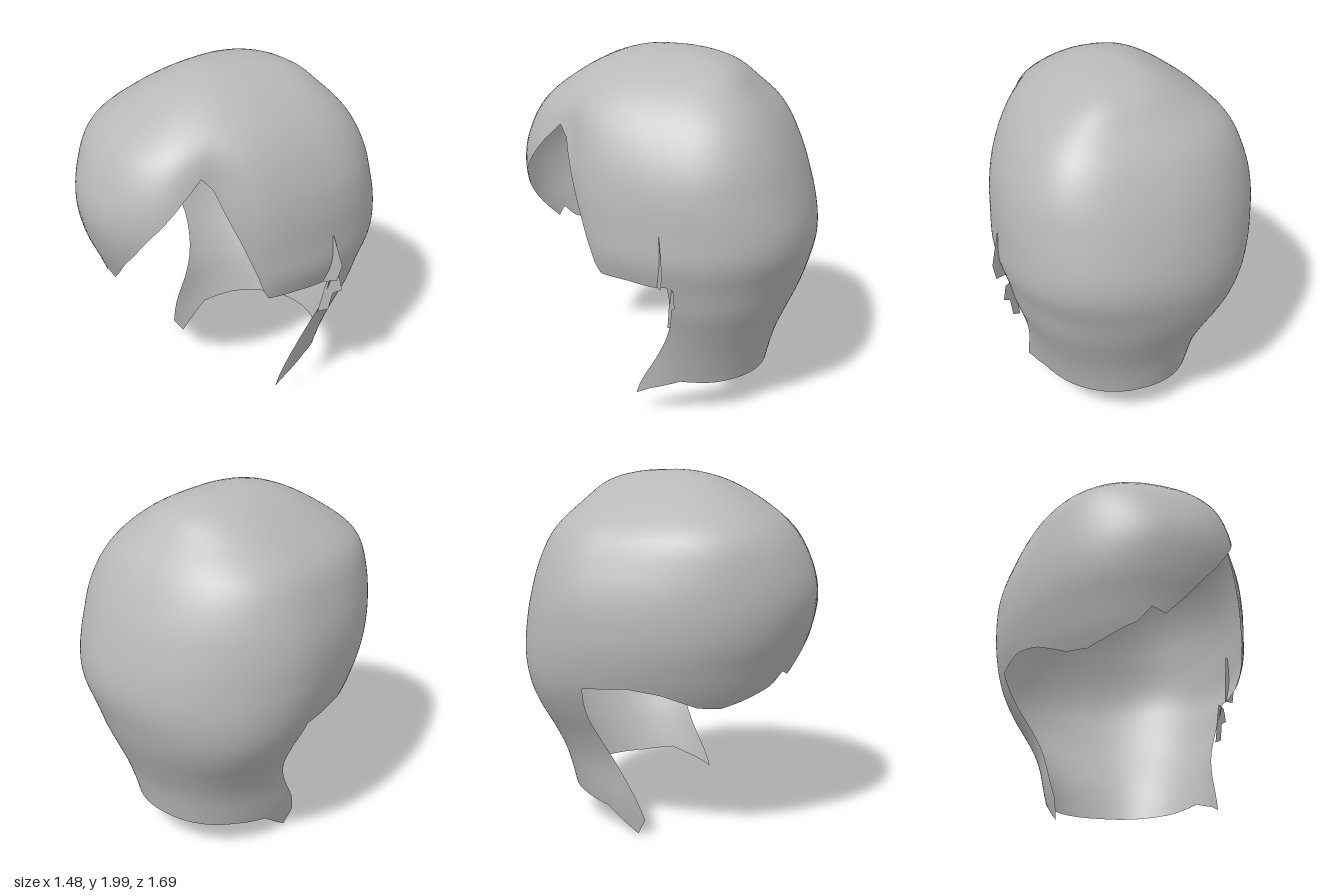
import * as THREE from 'three';

// Horizontal rings of the head of hair, crown to neck:
// y, right x, left x, front z, back z, centre z
const RINGS = [
  [2, -0.04, -0.04, 0.05, 0.05, 0.05],
  [1.985, -0.14, 0.1, 0.18, -0.19, 0],
  [1.93, -0.27, 0.26, 0.35, -0.38, -0.02],
  [1.82, -0.44, 0.425, 0.54, -0.5, -0.06],
  [1.68, -0.605, 0.55, 0.71, -0.625, -0.12],
  [1.5, -0.69, 0.64, 0.81, -0.725, -0.18],
  [1.33, -0.735, 0.68, 0.845, -0.79, -0.2],
  [1.15, -0.74, 0.69, 0.81, -0.835, -0.2],
  [1.0, -0.72, 0.69, 0.75, -0.84, -0.2],
  [0.85, -0.675, 0.65, 0.69, -0.805, -0.205],
  [0.7, -0.6, 0.61, 0.61, -0.755, -0.21],
  [0.55, -0.52, 0.56, 0.5, -0.69, -0.17],
  [0.4, -0.47, 0.525, 0.4, -0.63, -0.1],
  [0.2, -0.45, 0.5, 0.4, -0.58, 0.01],
  [0, -0.41, 0.49, 0.4, -0.55, 0.07],
];

// Hem heights by angle in degrees (0 = front, 90 = the left side)
const UPPER_HEM = [
  [-180, 0.88], [-90, 0.88], [-75, 0.9], [-63, 0.87], [-48, 0.79], [-38, 0.78],
  [-30, 0.81], [-15, 0.88], [-10, 0.95], [-4, 0.92], [5, 1.03], [18, 1.2],
  [31, 1.4], [38, 1.53], [44, 1.62], [48, 1.56], [57, 1.23], [63, 0.88],
  [75, 0.885], [85, 0.87], [90, 0.88], [180, 0.88],
];
const NECK_HEM = [
  [-180, 0.21], [-130, 0.18], [-110, 0.15], [-96, 0.01], [-90, 0.1],
  [90, 0.14], [96, 0.18], [110, 0.24], [130, 0.22], [180, 0.21],
];

const { lerp, smoothstep } = THREE.MathUtils;

function lookUp(table, x) {
  let i = 0;
  while (i < table.length - 2 && x > table[i + 1][0]) i++;
  const [a, b] = [table[i], table[i + 1]];
  return lerp(a[1], b[1], (x - a[0]) / (b[0] - a[0]));
}

// Smooth ring value k at position s along the ring list
function ring(s, k) {
  const last = RINGS.length - 1;
  const i = Math.min(Math.floor(s), last - 1), t = s - i;
  const p = (n) => RINGS[Math.max(0, Math.min(last, n))][k];
  const [a, b, c, d] = [p(i - 1), p(i), p(i + 1), p(i + 2)];
  return b + 0.5 * t * (c - a + t * (2 * a - 5 * b + 4 * c - d + t * (3 * (b - c) + d - a)));
}

function ringAtHeight(y) {
  let lo = 0, hi = RINGS.length - 1;
  for (let n = 0; n < 30; n++) {
    const mid = (lo + hi) / 2;
    if (ring(mid, 0) > y) lo = mid; else hi = mid;
  }
  return lo;
}

// Point of the shell: each quadrant is its own superellipse
function shellPoint(deg, s) {
  const a = THREE.MathUtils.degToRad(deg);
  const sin = Math.sin(a), cos = Math.cos(a);
  const [y, xr, xl, zf, zb, cz] = [0, 1, 2, 3, 4, 5].map((k) => ring(s, k));
  const cx = (xr + xl) / 2, half = (xl - xr) / 2;
  const back = smoothstep(-cos, -0.2, 0.2), left = smoothstep(sin, -0.2, 0.2);
  // The crown is fuller on its diagonals than the rest
  const crown = 0.5 * smoothstep(y, 1.3, 1.8) * (1 - 0.5 * left * (1 - back));
  const n = lerp(lerp(2.05, 2, left), lerp(2.2, 2.1, left), back) + crown;
  // Side hair sits a little behind the swept fringe
  const d = (deg - 50) / 12;
  const dent = 1 - 0.08 * Math.exp(-d * d) * (1 - smoothstep(y, 1.55, 1.85)) * smoothstep(y, 0.7, 1.1);
  const pow = (v) => Math.sign(v) * Math.abs(v) ** (2 / n) * dent;
  // The cap is skewed: back swung to the left, right side swung forward
  const backSkew = cos < 0 ? 0.15 * (cz - zb) * cos * cos * smoothstep(y, 0.7, 1.2) : 0;
  const sideSkew = sin < 0 ? 0.06 * half * sin * sin * smoothstep(y, 0.75, 1.2) : 0;
  return [
    cx + pow(sin) * half + backSkew,
    y,
    cz + pow(cos) * (cos > 0 ? zf - cz : cz - zb) + sideSkew,
  ];
}

// Cap and fringe over the whole circle, neck hair on the back half only
function hairGeometry() {
  const cols = 180, capRows = 36, neckRows = 18, rows = capRows + neckRows;
  const position = [], index = [];
  const isBack = (deg) => Math.abs(deg) >= 90;
  for (let i = 0; i < cols; i++) {
    const deg = -180 + (i * 360) / cols;
    const sHem = ringAtHeight(lookUp(UPPER_HEM, deg));
    const sNeck = isBack(deg) ? ringAtHeight(lookUp(NECK_HEM, deg)) : sHem;
    for (let j = 0; j <= rows; j++) {
      const s = j <= capRows ? (sHem * j) / capRows : lerp(sHem, sNeck, (j - capRows) / neckRows);
      position.push(...shellPoint(deg, s));
    }
  }
  for (let i = 0; i < cols; i++) {
    const deg = -180 + (i * 360) / cols, next = deg + 360 / cols;
    const end = isBack(deg) && isBack(next) ? rows : capRows;
    for (let j = 0; j < end; j++) {
      const a = i * (rows + 1) + j, c = ((i + 1) % cols) * (rows + 1) + j;
      if (j > 0) index.push(a, a + 1, c);
      index.push(c, a + 1, c + 1);
    }
  }
  const geometry = new THREE.BufferGeometry();
  geometry.setAttribute('position', new THREE.Float32BufferAttribute(position, 3));
  geometry.setIndex(index);
  geometry.computeVertexNormals();
  for (let i = 0; i < cols; i++) geometry.attributes.normal.setXYZ(i * (rows + 1), 0, 1, 0);
  return geometry;
}

export function createModel() {
  const group = new THREE.Group();
  const hairGrey = new THREE.MeshStandardMaterial({ color: 0xb8b8b8, side: THREE.DoubleSide });
  hairGrey.name = 'hairGrey';

  const add = (name, geometry) => {
    const mesh = new THREE.Mesh(geometry, hairGrey);
    mesh.name = name;
    group.add(mesh);
    return mesh;
  };

  add('hairShell', hairGeometry());

  // Small loose locks folded out around the left ear
  const lock = (name, points, z, turn) => {
    const shape = new THREE.Shape(points.map(([x, y]) => new THREE.Vector2(x - 0.66, y)));
    const mesh = add(name, new THREE.ShapeGeometry(shape));
    mesh.position.set(0.66, 0, z);
    mesh.rotation.y = turn;
  };
  lock('upperEarLock', [[0.67, 1.17], [0.7, 1.17], [0.755, 0.99], [0.73, 0.89], [0.64, 0.87]], -0.15, 0.6);
  lock('lowerEarLock', [[0.63, 0.88], [0.69, 0.87], [0.71, 0.79], [0.66, 0.76], [0.64, 0.65], [0.58, 0.62]], -0.23, 0.6);

  return group;
}
